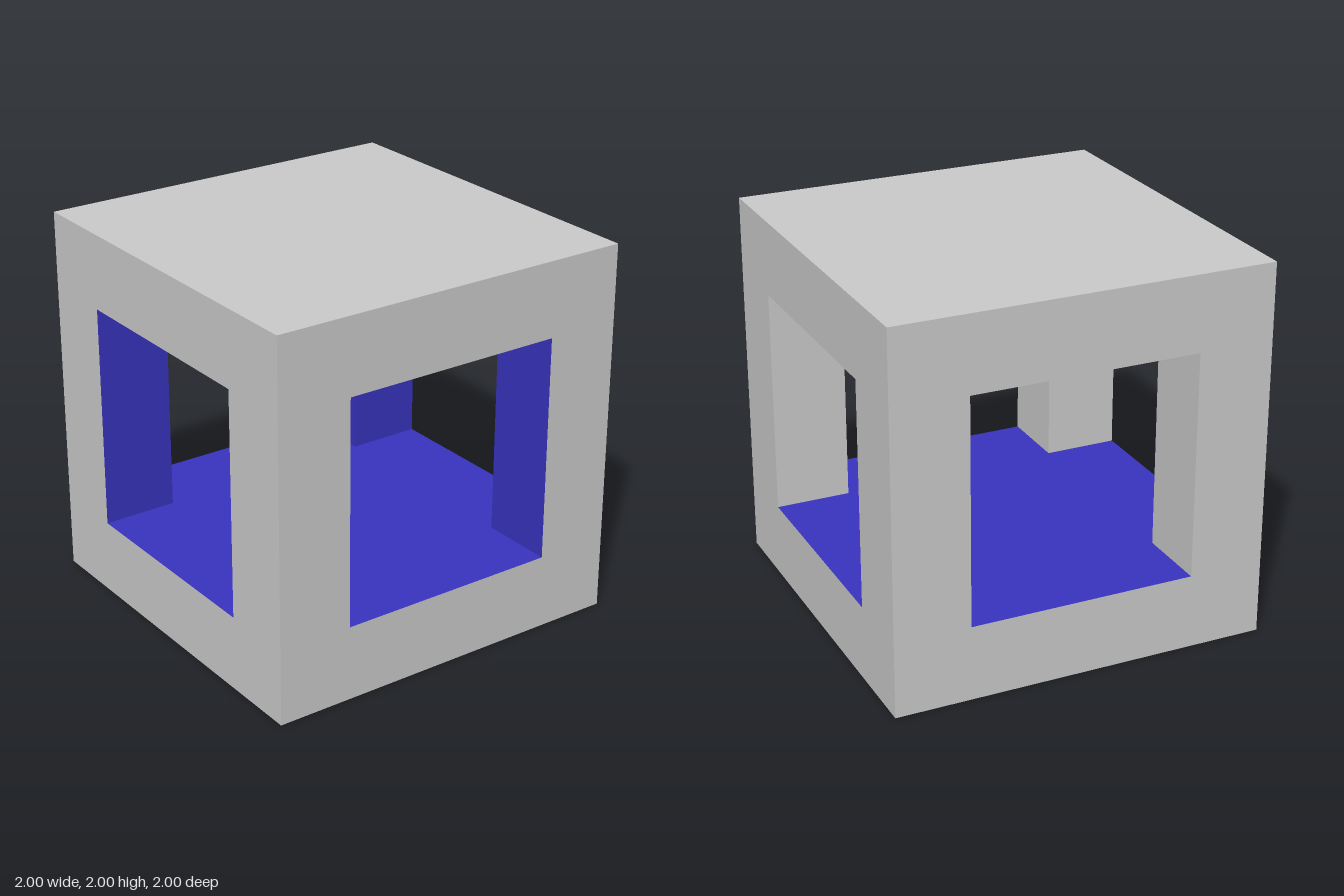
import * as THREE from 'three';

const HALF = 1;      // half of the cube's side
const OPEN = 0.6;    // half of the window openings
const MID = HALF;    // height of the cube's centre

const grey = new THREE.MeshStandardMaterial({ color: 0xcccccc });
const blue = new THREE.MeshStandardMaterial({ color: 0x3834c0 });

function addFace(parent, name, geometry, material, position, rotation) {
  const mesh = new THREE.Mesh(geometry, material);
  mesh.name = name;
  mesh.position.set(...position);
  mesh.rotation.set(...rotation);
  parent.add(mesh);
}

function polygon(points) {
  return points.map(([x, y]) => new THREE.Vector2(x, y));
}

const square = (h) => polygon([[-h, -h], [h, -h], [h, h], [-h, h]]);

// square wall with a square window
function windowWall() {
  const shape = new THREE.Shape(square(HALF));
  shape.holes.push(new THREE.Path(square(OPEN)));
  return new THREE.ShapeGeometry(shape);
}

// cross where the two tunnels meet
function crossFloor() {
  const o = OPEN, h = HALF;
  return new THREE.ShapeGeometry(new THREE.Shape(polygon([
    [o, -h], [o, -o], [h, -o], [h, o], [o, o], [o, h],
    [-o, h], [-o, o], [-h, o], [-h, -o], [-o, -o], [-o, -h],
  ])));
}

export function createModel() {
  const model = new THREE.Group();
  model.name = 'windowedCube';
  const quarter = Math.PI / 2;

  // roof and underside
  const slab = new THREE.PlaneGeometry(2 * HALF, 2 * HALF);
  addFace(model, 'roofTop', slab, grey, [0, 2 * HALF, 0], [-quarter, 0, 0]);
  addFace(model, 'baseUnderside', slab, grey, [0, 0, 0], [quarter, 0, 0]);

  // four outer walls
  const wall = windowWall();
  ['frontWall', 'leftWall', 'backWall', 'rightWall'].forEach((name, i) => {
    const a = i * quarter;
    addFace(model, name, wall, grey, [Math.sin(a) * HALF, MID, Math.cos(a) * HALF], [0, a, 0]);
  });

  // inside floor and ceiling
  const cross = crossFloor();
  addFace(model, 'floor', cross, blue, [0, MID - OPEN, 0], [-quarter, 0, 0]);
  addFace(model, 'ceiling', cross, grey, [0, MID + OPEN, 0], [quarter, 0, 0]);

  // two inner sides on each corner pillar, blue where they face +x or +z
  const side = new THREE.PlaneGeometry(HALF - OPEN, 2 * OPEN);
  const centre = (HALF + OPEN) / 2;
  for (const sx of [-1, 1]) {
    for (const sz of [-1, 1]) {
      const pillar = new THREE.Group();
      pillar.name = (sz > 0 ? 'front' : 'back') + (sx > 0 ? 'Left' : 'Right') + 'Pillar';
      addFace(pillar, 'pillarInnerSideX', side, sx < 0 ? blue : grey,
        [sx * OPEN, MID, sz * centre], [0, -sx * quarter, 0]);
      addFace(pillar, 'pillarInnerSideZ', side, sz < 0 ? blue : grey,
        [sx * centre, MID, sz * OPEN], [0, sz > 0 ? Math.PI : 0, 0]);
      model.add(pillar);
    }
  }
  return model;
}
